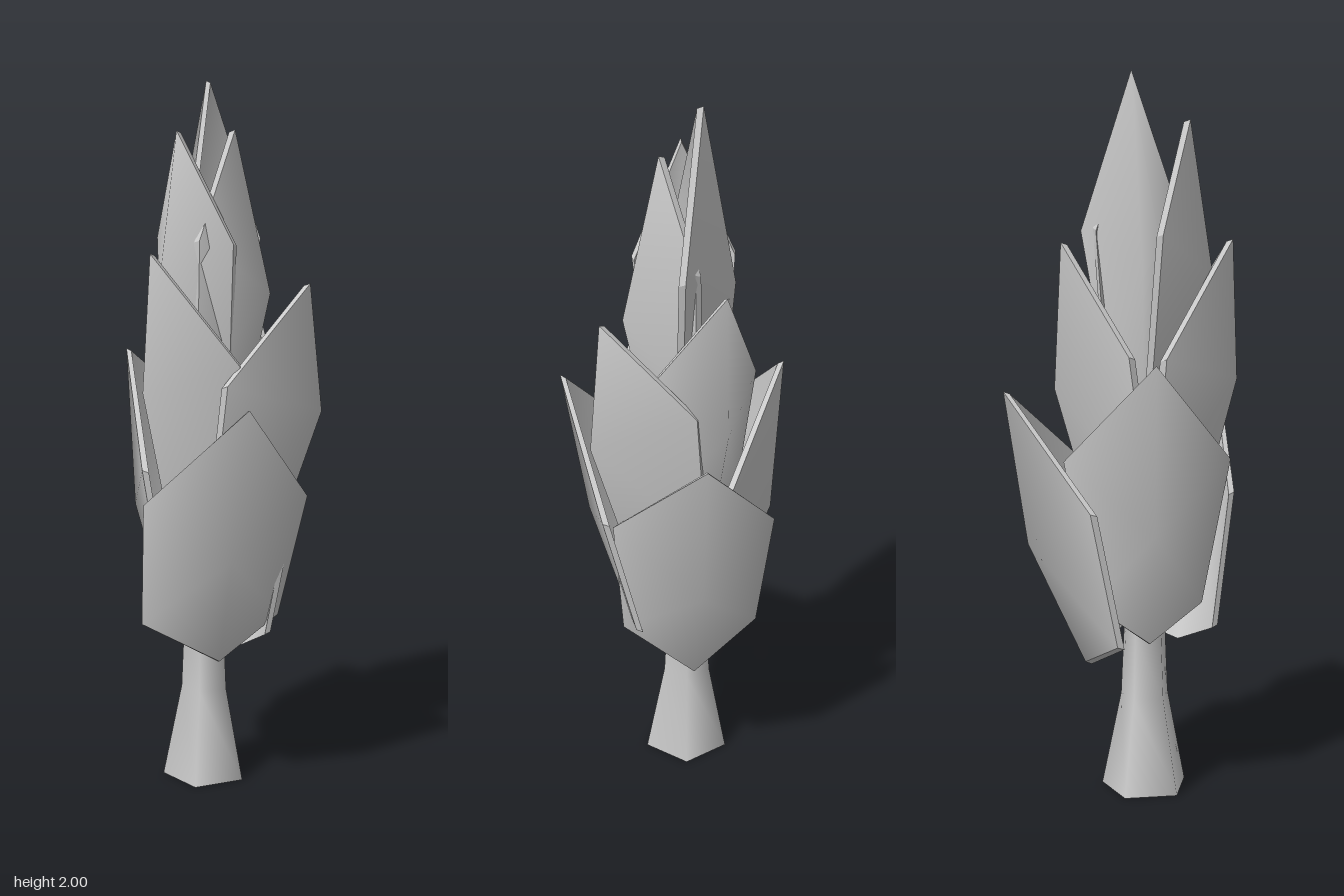
import * as THREE from 'three';

const AXIS = new THREE.Vector3(-0.06, 0, -0.075);
const THICKNESS = 0.018;

// Cupped leaf plate facing +z: a fan of six facets round a bulging middle,
// with an inner copy behind it and a flat rim between the two.
function leafGeometry({ base, low, mid, shoulder, tip, lean = 0 }) {
  const outline = [
    [0, base[1], base[0]],
    [low[2], low[1], low[0]],
    [shoulder[2] + lean, shoulder[1], shoulder[0]],
    [lean, tip[1], tip[0]],
    [-shoulder[2] + lean, shoulder[1], shoulder[0]],
    [-low[2], low[1], low[0]],
  ];
  const outer = [[0, mid[1], mid[0]], ...outline];
  const back = ([x, y, z]) => [x * 0.97, y - 0.006, z - THICKNESS];
  const points = [...outer, ...outer.map(back)];
  const index = [];
  for (let i = 0; i < 6; i++) {
    const a = 1 + i, b = 1 + (i + 1) % 6;
    index.push(0, a, b, 7, 7 + b, 7 + a);
    // rim quad with its own corners keeps the edge sharp
    const n = points.length;
    points.push(outer[a], outer[b], back(outer[b]), back(outer[a]));
    index.push(n, n + 2, n + 1, n, n + 3, n + 2);
  }
  const geometry = new THREE.BufferGeometry();
  geometry.setAttribute('position', new THREE.Float32BufferAttribute(points.flat(), 3));
  geometry.setIndex(index);
  geometry.computeVertexNormals();
  return geometry;
}

// dir is the outward [x, z] direction; other entries are [radius, height, half width]
const LEAVES = [
  // bottom tier
  { name: 'lowerFrontLeaf', dir: [0, 1], base: [0.175, 0.40], low: [0.065, 0.49, 0.2],
    mid: [0.325, 0.73], shoulder: [0.135, 0.855, 0.235], tip: [0.395, 1.16], lean: 0.03 },
  { name: 'lowerBackLeftLeaf', dir: [0.84, -0.55], base: [0.17, 0.36], low: [0.065, 0.46, 0.195],
    mid: [0.33, 0.70], shoulder: [0.135, 0.835, 0.228], tip: [0.394, 1.13] },
  { name: 'lowerBackRightLeaf', dir: [-0.67, -0.74], base: [0.12, 0.45], low: [0.03, 0.54, 0.155],
    mid: [0.25, 0.78], shoulder: [0.05, 0.95, 0.23], tip: [0.276, 1.24] },
  // middle tier
  { name: 'middleLeftLeaf', dir: [0.894, 0.447], base: [0.2, 0.70], low: [0.06, 0.80, 0.16],
    mid: [0.335, 1.1], shoulder: [0.107, 1.19, 0.175], tip: [0.30, 1.455] },
  { name: 'middleRightLeaf', dir: [-0.82, 0.57], base: [0.15, 0.78], low: [0.03, 0.87, 0.15],
    mid: [0.25, 1.17], shoulder: [0.06, 1.24, 0.165], tip: [0.237, 1.55], lean: 0.02 },
  { name: 'middleBackLeaf', dir: [0.64, -0.77], base: [0.15, 0.78], low: [0.03, 0.87, 0.14],
    mid: [0.255, 1.15], shoulder: [0.086, 1.25, 0.163], tip: [0.235, 1.545] },
  // top tier
  { name: 'upperBackLeaf', dir: [-0.54, -0.84], base: [0.09, 1.08], low: [-0.03, 1.17, 0.11],
    mid: [0.125, 1.5], shoulder: [-0.033, 1.57, 0.143], tip: [0.027, 2.0], lean: -0.037 },
  { name: 'upperRightLeaf', dir: [-0.82, 0.57], base: [0.1, 1.08], low: [0.02, 1.17, 0.11],
    mid: [0.183, 1.45], shoulder: [0.05, 1.57, 0.142], tip: [0.12, 1.87], lean: 0.01 },
  { name: 'upperLeftLeaf', dir: [0.79, 0.62], base: [0.12, 1.08], low: [0.03, 1.17, 0.11],
    mid: [0.2, 1.43], shoulder: [0.05, 1.58, 0.135], tip: [0.094, 1.87] },
];

export function createModel() {
  const model = new THREE.Group();
  model.name = 'leafyTree';
  const material = new THREE.MeshStandardMaterial({ color: 0xcccccc });

  // five-sided trunk, flared at the foot
  const profile = [[0.125, 0], [0.07, 0.27], [0.062, 0.45], [0.045, 1.15], [0, 1.2]]
    .map(([r, y]) => new THREE.Vector2(r, y));
  const trunk = new THREE.Mesh(new THREE.LatheGeometry(profile, 5, Math.PI / 4), material);
  trunk.name = 'trunk';
  trunk.position.copy(AXIS);
  model.add(trunk);

  const foot = new THREE.Mesh(new THREE.CircleGeometry(0.125, 5, Math.PI / 4), material);
  foot.name = 'trunkBase';
  foot.rotation.x = Math.PI / 2;
  foot.position.copy(AXIS);
  model.add(foot);

  // three tiers of three leaves
  for (const spec of LEAVES) {
    const leaf = new THREE.Mesh(leafGeometry(spec), material);
    leaf.name = spec.name;
    leaf.position.copy(AXIS);
    leaf.rotation.y = Math.atan2(spec.dir[0], spec.dir[1]);
    model.add(leaf);
  }
  return model;
}
